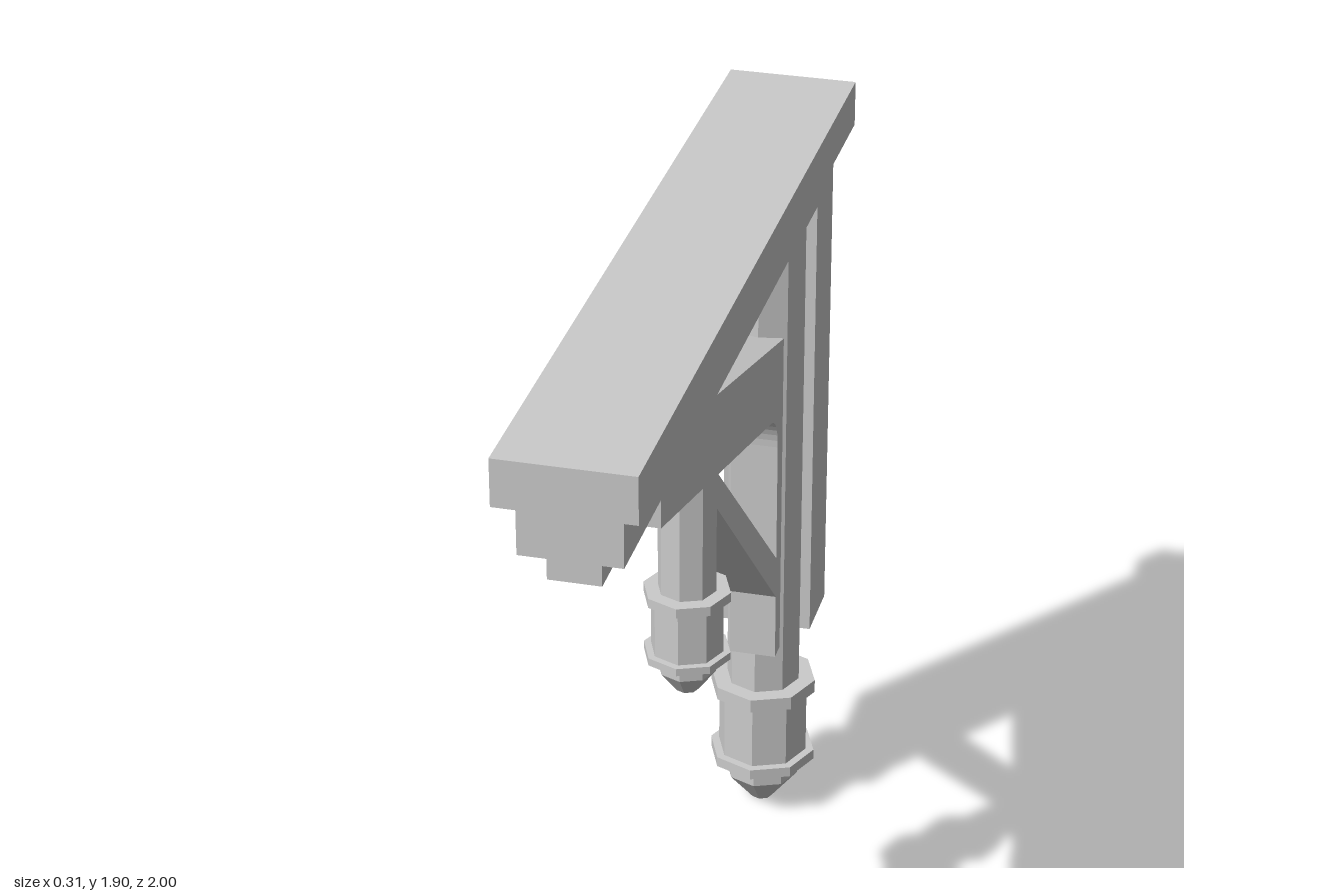
import * as THREE from 'three';

const material = new THREE.MeshStandardMaterial({ color: 0xcccccc, flatShading: true });

function add(parent, name, geometry) {
  const mesh = new THREE.Mesh(geometry, material);
  mesh.name = name;
  parent.add(mesh);
  return mesh;
}

// Box given by half width, and its y and z ranges
function block(parent, name, halfWidth, y0, y1, z0, z1) {
  const mesh = add(parent, name, new THREE.BoxGeometry(halfWidth * 2, y1 - y0, z1 - z0));
  mesh.position.set(0, (y0 + y1) / 2, (z0 + z1) / 2);
}

// Side profile drawn in (z, y), extruded evenly across x
function sidePanel(parent, name, shape, halfWidth) {
  const geometry = new THREE.ExtrudeGeometry(shape, {
    depth: halfWidth * 2, bevelEnabled: false, curveSegments: 8,
  });
  geometry.translate(0, 0, -halfWidth).rotateY(-Math.PI / 2);
  add(parent, name, geometry);
}

// Octagonal post with a collared barrel and a pointed drop; profile is [radius, y]
function pendantPost(parent, name, z, profile) {
  const points = profile.map(([r, y]) => new THREE.Vector2(r, y));
  const post = add(parent, name, new THREE.LatheGeometry(points, 8));
  post.position.z = z;
}

export function createModel() {
  const model = new THREE.Group();
  model.name = 'eavesBracket';

  // Cap, beam and wall post
  block(model, 'topCap', 0.153, 1.79, 1.9, -1, 1);
  block(model, 'beam', 0.112, 1.665, 1.79, -0.957, 0.963);
  block(model, 'wallPost', 0.112, 0.495, 1.665, -0.957, -0.787);

  // Sloping arm with its front tongue and the plate against the rear post
  const arm = new THREE.Shape();
  arm.moveTo(0.935, 1.665);
  arm.lineTo(0.4, 1.665);
  arm.lineTo(-0.685, 1.36);
  arm.lineTo(-0.685, 0.495);
  arm.lineTo(-0.635, 0.495);
  arm.lineTo(-0.635, 1.09);
  arm.bezierCurveTo(-0.635, 1.14, -0.61, 1.18, -0.56, 1.193);
  arm.lineTo(0.47, 1.477);
  arm.lineTo(0.47, 1.54);
  arm.bezierCurveTo(0.475, 1.58, 0.495, 1.6, 0.54, 1.6);
  arm.lineTo(0.935, 1.6);
  arm.closePath();
  sidePanel(model, 'slopingArm', arm, 0.058);

  // Thin diagonal strut below the arm
  const strut = new THREE.Shape();
  strut.moveTo(-0.65, 0.655);
  strut.lineTo(0.02, 1.298);
  strut.lineTo(0.02, 1.39);
  strut.lineTo(-0.65, 0.766);
  strut.closePath();
  sidePanel(model, 'diagonalStrut', strut, 0.058);

  // Rear and front hanging posts
  pendantPost(model, 'rearPost', -0.756, [
    [0, 0], [0.028, 0], [0.093, 0.08], [0.093, 0.128],
    [0.135, 0.128], [0.135, 0.155], [0.114, 0.155], [0.114, 0.33],
    [0.135, 0.33], [0.135, 0.365], [0.093, 0.365], [0.093, 1.67],
  ]);
  pendantPost(model, 'frontPost', 0.021, [
    [0, 0.797], [0.028, 0.797], [0.069, 0.852], [0.069, 0.888],
    [0.103, 0.888], [0.103, 0.907], [0.086, 0.907], [0.086, 1.042],
    [0.103, 1.042], [0.103, 1.066], [0.069, 1.066], [0.069, 1.67],
  ]);

  return model;
}
